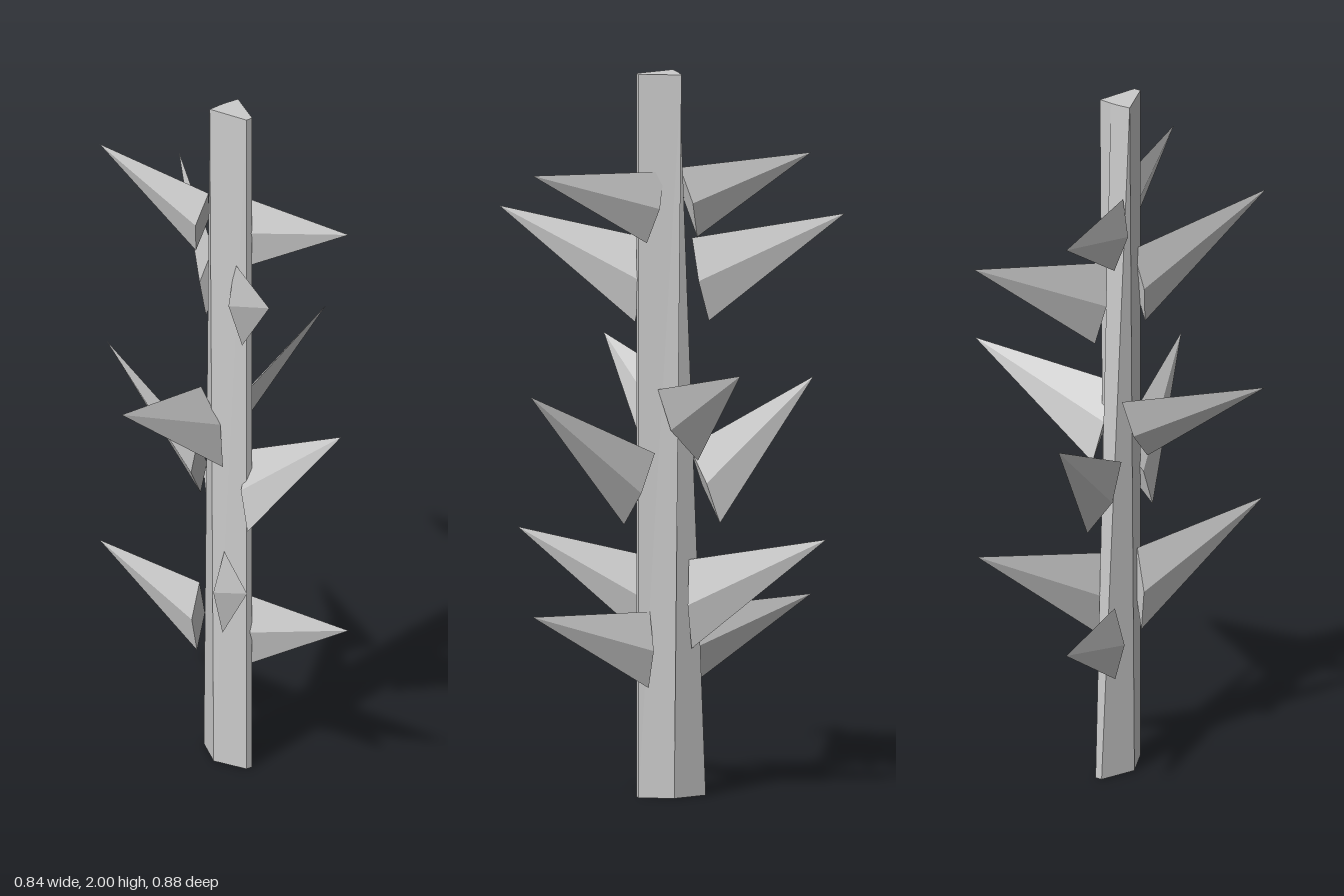
import * as THREE from 'three';

const material = new THREE.MeshStandardMaterial({ color: 0xcccccc, flatShading: true });
const vec = (p) => new THREE.Vector3(...p);

// Flat-faced mesh from a list of convex polygons (corners anticlockwise seen from outside)
function facetMesh(name, polygons) {
  const points = [];
  for (const poly of polygons)
    for (let i = 1; i < poly.length - 1; i++) points.push(poly[0], poly[i], poly[i + 1]);
  const geometry = new THREE.BufferGeometry().setFromPoints(points);
  geometry.computeVertexNormals();
  const mesh = new THREE.Mesh(geometry, material);
  mesh.name = name;
  return mesh;
}

// Six-sided stem whose back ridge slopes forward towards the top
function createStem() {
  const ring = (section, y) => section.map(([x, z]) => new THREE.Vector3(x, y, z));
  const bottom = ring([[0.02, 0.1], [0.056, 0.008], [0.02, -0.09], [0, -0.09], [-0.042, 0.008], [0, 0.1]], 0);
  const top = ring([[0.02, 0.1], [0.058, -0.012], [0.02, -0.015], [0, -0.015], [-0.04, -0.012], [0, 0.1]], 2);
  const faces = [top, [...bottom].reverse()];
  for (let i = 0; i < 6; i++) {
    const j = (i + 1) % 6;
    faces.push([bottom[i], bottom[j], top[j], top[i]]);
  }
  return facetMesh('stem', faces);
}

// Four-sided thorn on a thin diamond base, given its tip and upper and lower base corners
function createThorn(name, tipPoint, upperPoint, lowerPoint, halfWidth = 0.028) {
  const tip = vec(tipPoint), upper = vec(upperPoint), lower = vec(lowerPoint);
  const centre = upper.clone().add(lower).multiplyScalar(0.5);
  const side = tip.clone().sub(centre).cross(upper.clone().sub(lower)).setLength(halfWidth);
  const base = [upper, centre.clone().add(side), lower, centre.clone().sub(side)];
  const faces = base.map((p, i) => [p, base[(i + 1) % 4], tip]);
  faces.push([...base].reverse());
  return facetMesh(name, faces);
}

// Tip, upper base corner, lower base corner
const thorns = [
  [[0.105, 0.525, 0.42], [0.03, 0.515, 0.07], [0.035, 0.305, 0.075]],
  [[-0.215, 0.725, 0.38], [-0.03, 0.655, 0.04], [-0.04, 0.41, 0.045]],
  [[0.08, 1.13, 0.42], [0.045, 0.955, 0.06], [-0.02, 0.75, 0.13]],
  [[0.42, 1.22, -0.085], [0.04, 1.13, 0.05], [0.05, 0.93, -0.06]],
  [[-0.185, 1.62, 0.44], [-0.005, 1.54, 0.055], [-0.015, 1.31, 0.1]],
  [[0.105, 1.745, 0.42], [0.03, 1.73, 0.03], [0.035, 1.535, 0.08]],
];

export function createModel() {
  const model = new THREE.Group();
  model.name = 'thornyStem';
  model.add(createStem());

  // Each thorn has a twin turned half way round the stem
  thorns.forEach((thorn, i) => {
    const first = createThorn(`thorn${i + 1}`, ...thorn);
    const twin = first.clone();
    twin.name = `oppositeThorn${i + 1}`;
    twin.rotation.y = Math.PI;
    model.add(first, twin);
  });
  return model;
}
